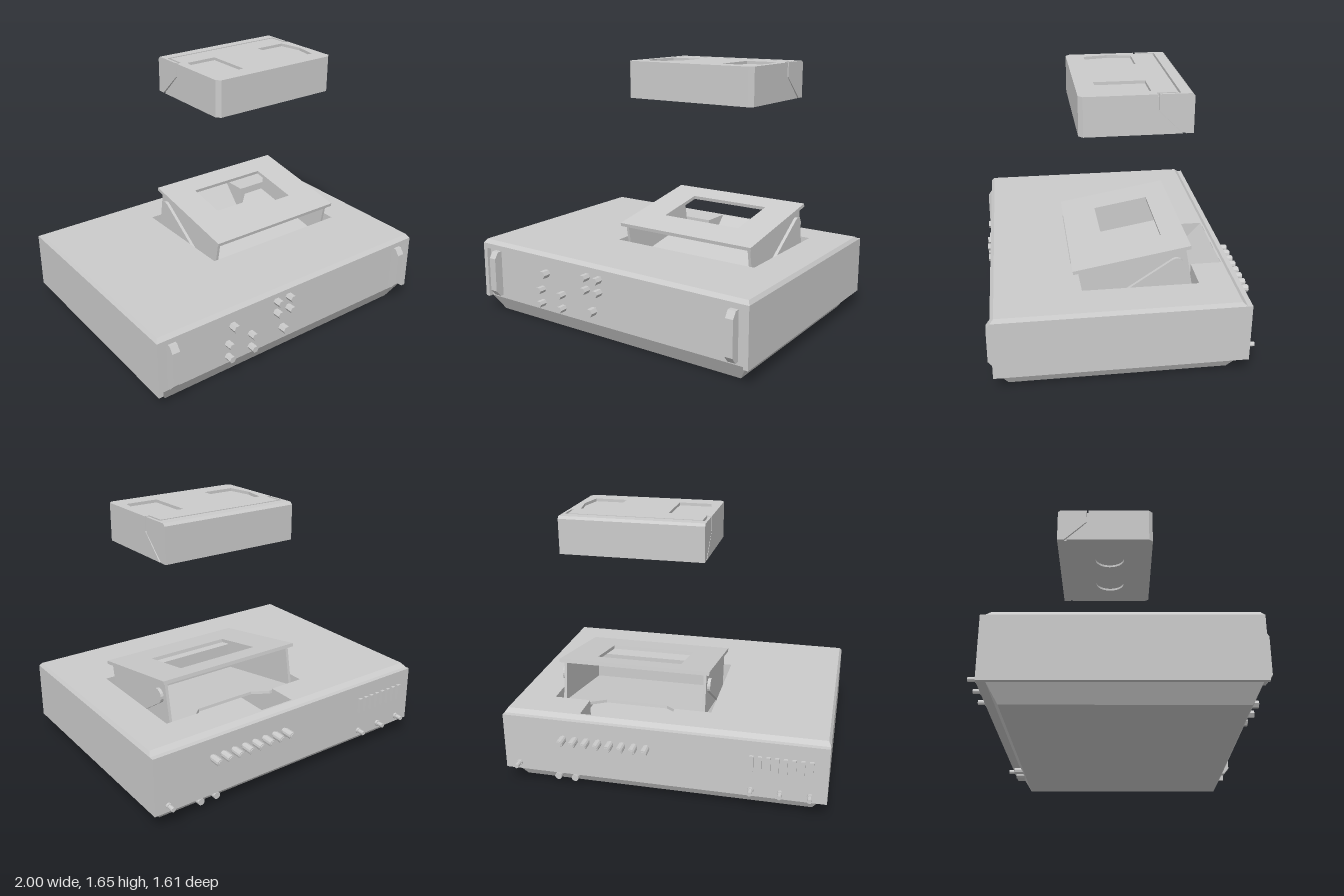
import * as THREE from 'three';

const grey = new THREE.MeshStandardMaterial({ color: 0xcccccc, flatShading: true, side: THREE.DoubleSide });

function add(parent, name, geo, x = 0, y = 0, z = 0) {
  const m = new THREE.Mesh(geo, grey);
  m.name = name;
  m.position.set(x, y, z);
  parent.add(m);
  return m;
}

// Box between two corners
function box(x0, x1, y0, y1, z0, z1) {
  return new THREE.BoxGeometry(x1 - x0, y1 - y0, z1 - z0)
    .translate((x0 + x1) / 2, (y0 + y1) / 2, (z0 + z1) / 2);
}

// Plan outline of [x, z] points (with holes) raised from y0 to y1
function plan(pts, y0, y1, holes = []) {
  const toV = ([x, z]) => new THREE.Vector2(x, -z);
  const s = new THREE.Shape(pts.map(toV));
  holes.forEach(h => s.holes.push(new THREE.Path(h.map(toV))));
  return new THREE.ExtrudeGeometry(s, { depth: y1 - y0, bevelEnabled: false })
    .rotateX(-Math.PI / 2).translate(0, y0, 0);
}

// Side outline of [z, y] points stretched from x0 to x1
function side(pts, x0, x1) {
  const s = new THREE.Shape(pts.map(([z, y]) => new THREE.Vector2(z, y)));
  return new THREE.ExtrudeGeometry(s, { depth: x1 - x0, bevelEnabled: false })
    .rotateY(-Math.PI / 2).translate(x1, 0, 0);
}

const rect = (x0, x1, z0, z1) => [[x0, z0], [x1, z0], [x1, z1], [x0, z1]];
const circle = (cx, cz, r, n = 24) => Array.from({ length: n }, (_, i) =>
  [cx + r * Math.cos(i / n * 2 * Math.PI), cz + r * Math.sin(i / n * 2 * Math.PI)]);

// Move vertices by a rule
function reshape(geo, rule) {
  const p = geo.attributes.position, v = new THREE.Vector3();
  for (let i = 0; i < p.count; i++) {
    rule(v.fromBufferAttribute(p, i));
    p.setXYZ(i, v.x, v.y, v.z);
  }
  geo.computeVertexNormals();
  return geo;
}

// Round peg pointing along z
const peg = (r, len, n) => new THREE.CylinderGeometry(r, r, len, n).rotateY(Math.PI / 6).rotateX(Math.PI / 2);

function makeHousing() {
  const g = new THREE.Group();
  g.name = 'housing';

  // Tapered base
  add(g, 'base', reshape(box(-0.97, 0.97, 0, 0.1, -0.67, 0.745), v => {
    if (v.y < 0.05) {
      v.x = Math.sign(v.x) * 0.91;
      v.z = v.z > 0 ? 0.69 : -0.61;
    }
  }));

  // Casing with the well for the carriage and its rear notch
  const well = [[-0.26, 0.28], [0.75, 0.28], [0.75, -0.46], [0.52, -0.46],
    [0.52, -0.65], [-0.03, -0.65], [-0.03, -0.46], [-0.26, -0.46]];
  add(g, 'casing', plan(rect(-1, 1, -0.72, 0.745), 0.1, 0.467, [well]));
  add(g, 'topCover', reshape(plan(rect(-1, 1, -0.69, 0.775), 0.467, 0.49, [well]), v => {
    if (v.y < 0.48) return;
    if (Math.abs(v.x) > 0.99) v.x = Math.sign(v.x) * 0.985;
    if (v.z > 0.7) v.z = 0.753;
    if (v.z < -0.68) v.z = -0.662;
  }));
  add(g, 'notchRamp', side([[-0.65, 0.1], [-0.46, 0.1], [-0.46, 0.28], [-0.65, 0.489]], -0.03, 0.52));

  // Raised rim around the front panel
  add(g, 'frontRimTop', box(-1, 1, 0.435, 0.467, 0.745, 0.775));
  for (const s of [-1, 1]) {
    add(g, 'frontRimSide', box(-0.015, 0.015, 0.1, 0.435, 0.745, 0.775), s * 0.985);
    // Front handles with sloped ends
    add(g, 'handle', side([[0.74, 0.12], [0.77, 0.12], [0.803, 0.16], [0.803, 0.38], [0.775, 0.42], [0.74, 0.42]],
      -0.025, 0.025), s * 0.895);
  }

  // Six-sided front knobs: x, y, radius
  [[-0.465, 0.35, 0.026], [-0.085, 0.185, 0.026],
    [-0.5, 0.24, 0.022], [-0.33, 0.24, 0.022], [-0.5, 0.15, 0.022], [-0.33, 0.15, 0.022],
    [-0.135, 0.393, 0.023], [-0.04, 0.393, 0.023], [-0.135, 0.313, 0.023], [-0.04, 0.313, 0.023],
  ].forEach(([x, y, r]) => add(g, 'knob', peg(r, 0.06, 6), x, y, 0.767));

  // Rear sockets, vent bars and small connectors
  for (let i = 0; i < 8; i++) {
    const x = 0.085 + i * 0.075;
    add(g, 'socket', peg(0.018, 0.1, 12), x, 0.347, -0.76);
    add(g, 'socketSleeve', peg(0.024, 0.07, 12), x, 0.347, -0.77);
    add(g, 'ventBar', box(-0.012, 0.012, 0.275, 0.375, -0.737, -0.71), -0.9 + i * 0.05);
  }
  for (const x of [-0.9, -0.725, -0.55, 0.91]) {
    add(g, 'connector', peg(0.014, 0.07, 10), x, 0.142, -0.74);
    add(g, 'connectorRing', peg(0.019, 0.02, 10), x, 0.142, -0.725);
  }
  for (const x of [0.56, 0.67]) add(g, 'baseConnector', peg(0.022, 0.08, 12), x, 0.055, -0.653);
  return g;
}

function makeCarriage() {
  const g = new THREE.Group();
  g.name = 'carriage';
  g.position.x = 0.2475;

  // Tilted basket: windowed lid, side walls and a floor with a rear cutout
  const b = new THREE.Group();
  b.name = 'basket';
  b.position.set(0, 0.66, -0.06);
  b.rotation.x = 0.176;
  g.add(b);
  add(b, 'lid', plan(rect(-0.4825, 0.4825, -0.354, 0.354), -0.011, 0.011, [rect(-0.275, 0.275, -0.21, 0.14)]));
  add(b, 'basketFloor', plan([[-0.46, 0.325], [0.46, 0.325], [0.46, -0.325], [0.285, -0.325], [0.2, -0.24],
    [-0.2, -0.24], [-0.285, -0.325], [-0.46, -0.325]], -0.28, -0.262));

  for (const s of [-1, 1]) {
    add(b, 'basketSide', box(-0.009, 0.009, -0.28, -0.01, -0.325, 0.325), s * 0.452);
    // Round-ended lifting arm
    const a = Math.atan2(-0.155, 0.23), r = 0.045, len = 0.48;
    const pts = [];
    for (let i = 0; i <= 8; i++) {
      const t = a + Math.PI / 2 + i / 8 * Math.PI;
      pts.push([-0.325 + r * Math.cos(t), 0.61 + r * Math.sin(t)]);
    }
    const dz = len * Math.cos(a), dy = len * Math.sin(a);
    pts.push([pts[8][0] + dz, pts[8][1] + dy], [pts[0][0] + dz, pts[0][1] + dy]);
    add(g, 'liftArm', side(pts, -0.01, 0.01), s * 0.472);
  }
  return g;
}

function makeCassette() {
  const g = new THREE.Group();
  g.name = 'cassette';
  g.position.set(0.245, 1.42, 0);
  const W = 0.445, H = 0.23, I = W - 0.015;
  const front = [[-W, 0.215], [-W + 0.025, 0.24], [W - 0.025, 0.24], [W, 0.215]];

  // Core, narrower behind where the door wraps round
  const foot = [...front, [W, -0.18], [I, -0.18], [I, -0.385], [-I, -0.385], [-I, -0.18], [-W, -0.18]];
  add(g, 'core', plan(foot, 0.015, H - 0.018));
  add(g, 'bottomPlate', plan(foot, 0, 0.015, [circle(-0.175, -0.05, 0.1), circle(0.175, -0.05, 0.1)]));

  // Top plate with two recessed windows
  const windowAt = s => [[0.175, -0.168], [0.38, -0.168], [0.407, -0.02], [0.38, 0.13], [0.175, 0.13]]
    .map(([x, z]) => [s * x, z]);
  add(g, 'topPlate', plan([...front, [W, -0.192], [W - 0.032, -0.192], [W - 0.032, -0.31],
    [-W + 0.032, -0.31], [-W + 0.032, -0.192], [-W, -0.192]], H - 0.018, H, [windowAt(-1), windowAt(1)]));

  // Hinged door: back panel, top strip and side cheeks
  add(g, 'doorBack', side([[-0.38, 0], [-0.4, 0], [-0.4, H - 0.015], [-0.385, H], [-0.324, H], [-0.324, H - 0.018],
    [-0.38, H - 0.018]], -W, W));
  for (const s of [-1, 1]) {
    add(g, 'doorCheek', side([[-0.205, H], [-0.205, 0.14], [-0.355, 0], [-0.39, 0], [-0.39, H - 0.005],
      [-0.38, H]], -0.0085, 0.0085), s * (W - 0.0085));
    add(g, 'shellCheek', side([[-0.17, 0], [-0.338, 0], [-0.192, 0.145], [-0.192, H - 0.018], [-0.17, H - 0.018]],
      -0.0085, 0.0085), s * (W - 0.0085));
  }
  return g;
}

export function createModel() {
  const model = new THREE.Group();
  model.name = 'cassetteDeck';
  model.add(makeHousing(), makeCarriage(), makeCassette());
  // Centre front to back
  model.children.forEach(c => { c.position.z += 0.003; });
  return model;
}
